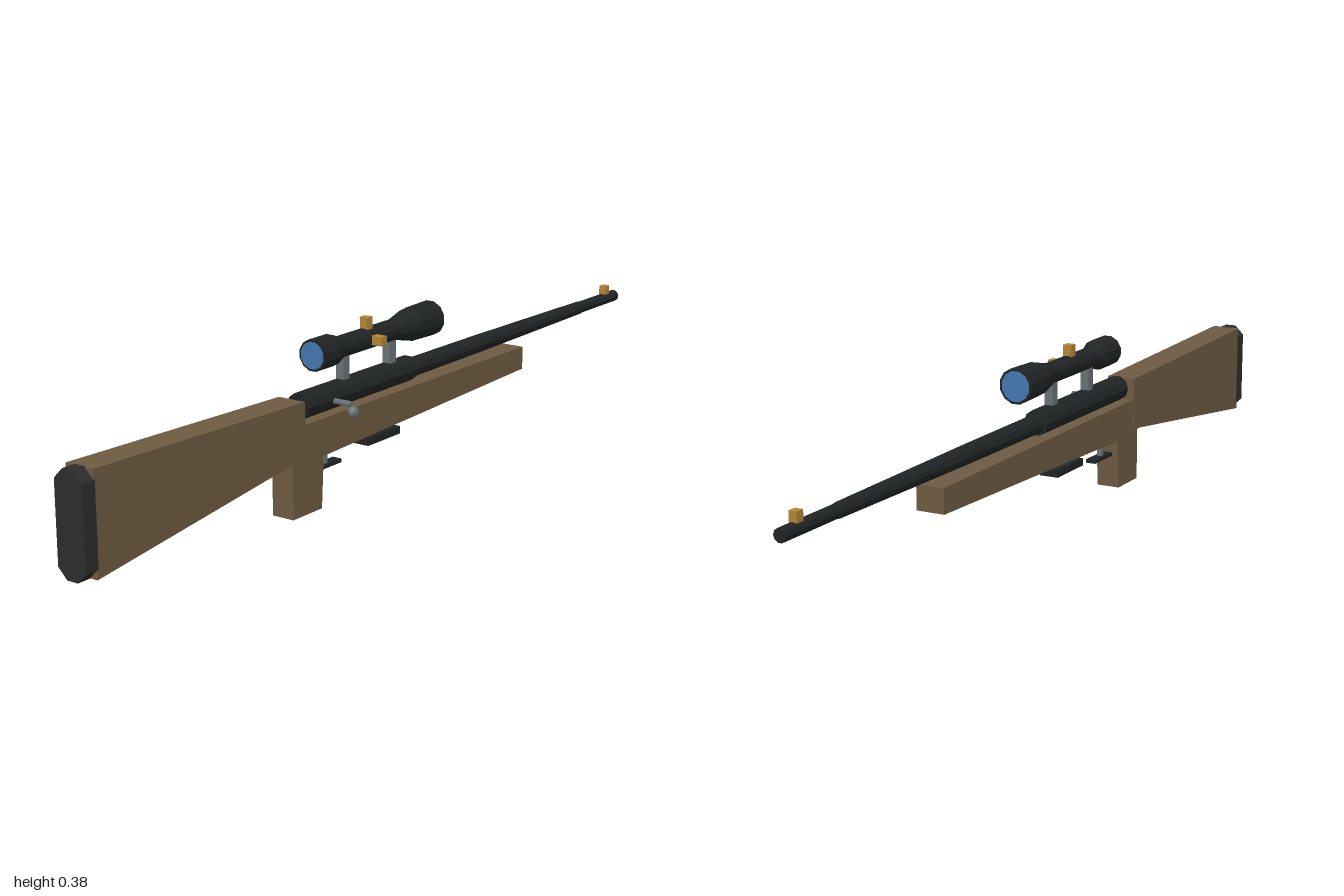
import * as THREE from 'three';

const CX = -0.026; // centre plane of the rifle

function material(name, color) {
  const m = new THREE.MeshStandardMaterial({ color, flatShading: true });
  m.name = name;
  return m;
}

export function createModel() {
  const model = new THREE.Group();
  model.name = 'scopedRifle';
  const wood = material('wood', 0x6e5a42);
  const rubber = material('rubber', 0x2c2c2c);
  const steel = material('blackSteel', 0x202424);
  const grey = material('greySteel', 0x687276);
  const brass = material('brass', 0xb58436);
  const glass = material('glass', 0x4377b0);

  function add(name, geometry, mat, x = 0, y = 0, z = 0) {
    const mesh = new THREE.Mesh(geometry, mat);
    mesh.name = name;
    mesh.position.set(x, y, z);
    model.add(mesh);
    return mesh;
  }

  const box = (name, mat, w, h, d, x, y, z) =>
    add(name, new THREE.BoxGeometry(w, h, d), mat, x, y, z);

  // Side outline of [z, y] points, extruded across the width
  function slab(name, mat, width, points) {
    const shape = new THREE.Shape(points.map(p => new THREE.Vector2(...p)));
    const g = new THREE.ExtrudeGeometry(shape, { depth: width, bevelEnabled: false });
    g.translate(0, 0, -width / 2).rotateY(-Math.PI / 2);
    return add(name, g, mat, CX);
  }

  // Turned part along z from [radius, z] points, z ascending
  function turned(name, mat, sides, y, points) {
    const g = new THREE.LatheGeometry(
      points.map(p => new THREE.Vector2(...p)), sides, Math.PI / sides);
    g.rotateX(Math.PI / 2);
    return add(name, g, mat, CX, y);
  }

  // Wooden furniture
  slab('buttStock', wood, 0.069, [[0.97, 0.05], [0.97, 0.265], [0.35, 0.25], [0.35, 0.13]]);
  slab('foreStock', wood, 0.065, [[0.385, 0.125], [0.385, 0.2], [-0.5, 0.195], [-0.5, 0.14], [0.28, 0.117]]);
  slab('pistolGrip', wood, 0.055, [[0.385, 0], [0.385, 0.145], [0.278, 0.145], [0.288, 0]]);

  // Butt pad with cut corners
  const w = 0.0355, h = 0.1085, c = 0.022;
  const pad = new THREE.Shape([
    [w, -h + c], [w, h - c], [w - c, h], [-w + c, h],
    [-w, h - c], [-w, -h + c], [-w + c, -h], [w - c, -h],
  ].map(p => new THREE.Vector2(...p)));
  add('buttPad', new THREE.ExtrudeGeometry(pad, { depth: 0.033, bevelEnabled: false }),
    rubber, CX, 0.157, 0.967);

  // Receiver and barrel
  turned('receiver', steel, 10, 0.23, [[0, -0.065], [0.029, -0.065], [0.029, 0.33], [0, 0.33]]);
  turned('barrel', steel, 10, 0.228, [
    [0, -1], [0.0145, -1], [0.0145, -0.83], [0.016, -0.82], [0.021, -0.35], [0.022, -0.06], [0, -0.06],
  ]);
  box('frontSight', brass, 0.018, 0.022, 0.02, CX, 0.252, -0.95);

  // Bolt handle
  const bolt = add('boltHandle', new THREE.CylinderGeometry(0.0065, 0.0065, 0.05, 8), grey, 0.02, 0.226, 0.24);
  bolt.rotation.z = Math.PI / 2;
  add('boltKnob', new THREE.SphereGeometry(0.0125, 8, 6), grey, 0.05, 0.21, 0.24);

  // Trigger, guard and magazine plate
  box('trigger', grey, 0.012, 0.045, 0.01, CX, 0.1, 0.245);
  box('triggerGuard', steel, 0.024, 0.008, 0.085, CX, 0.081, 0.24);
  box('magazinePlate', steel, 0.045, 0.017, 0.12, CX, 0.103, 0.055);

  // Scope with lenses, mounts and turrets
  const sy = 0.329;
  turned('scopeTube', steel, 12, sy, [
    [0, -0.153], [0.04, -0.153], [0.038, -0.07], [0.024, -0.01],
    [0.024, 0.19], [0.035, 0.22], [0.035, 0.28], [0, 0.28],
  ]);
  turned('eyepieceLens', glass, 12, sy, [[0.03, 0.279], [0.03, 0.282], [0, 0.282]]);
  turned('objectiveLens', glass, 12, sy, [[0, -0.155], [0.034, -0.155], [0.034, -0.152]]);
  for (const z of [0.175, 0.005]) {
    box('scopeMount', grey, 0.02, 0.06, 0.022, CX, 0.28, z);
  }
  box('topTurret', brass, 0.02, 0.028, 0.02, CX, 0.363, 0.09);
  box('sideTurret', brass, 0.028, 0.02, 0.02, 0.008, sy, 0.09);

  return model;
}
